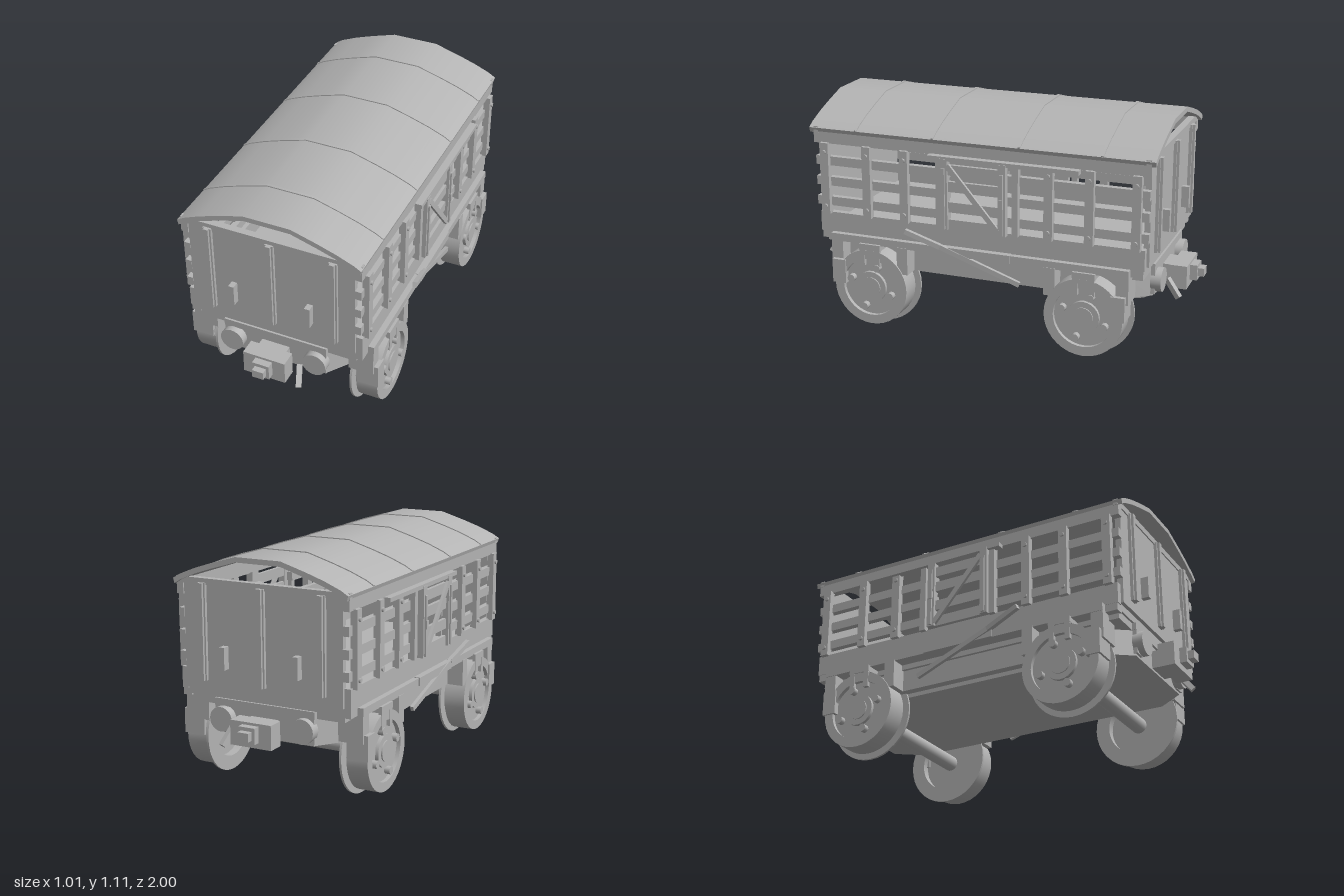
import * as THREE from 'three';
import { toCreasedNormals } from 'three/addons/utils/BufferGeometryUtils.js';

export function createModel() {
  const root = new THREE.Group();
  const grey = new THREE.MeshStandardMaterial({ color: 0xb4b4b4 });
  grey.name = 'plain grey';

  const add = (name, geo) => {
    const m = new THREE.Mesh(geo, grey);
    m.name = name;
    root.add(m);
    return m;
  };
  // box given by its limits on each axis
  const box = (name, x0, x1, y0, y1, z0, z1) => {
    const m = add(name, new THREE.BoxGeometry(Math.abs(x1 - x0), Math.abs(y1 - y0), Math.abs(z1 - z0)));
    m.position.set((x0 + x1) / 2, (y0 + y1) / 2, (z0 + z1) / 2);
    return m;
  };
  // bar of rectangular section between two points
  const strut = (name, a, b, w, h) => {
    const p = new THREE.Vector3(...a), q = new THREE.Vector3(...b);
    const m = add(name, new THREE.BoxGeometry(w, h, p.distanceTo(q)));
    m.position.copy(p).add(q).multiplyScalar(0.5);
    m.lookAt(q);
    return m;
  };
  // cylinder lying along x or z
  const rod = (name, axis, r, len, x, y, z, seg = 24) => {
    const g = new THREE.CylinderGeometry(r, r, len, seg);
    if (axis === 'x') g.rotateZ(Math.PI / 2); else g.rotateX(Math.PI / 2);
    const m = add(name, g);
    m.position.set(x, y, z);
    return m;
  };

  // Curved roof and its ribs
  const half = [[0.445, 0.983], [0.41, 1.004], [0.33, 1.037], [0.24, 1.067], [0.115, 1.104]];
  const roofSlice = (name, lift, depth, z) => {
    const outer = [...half, ...half.map(([x, y]) => [-x, y]).reverse()];
    const top = outer.map(([x, y]) => new THREE.Vector2(x, y + lift));
    const under = outer.map(([x, y]) => new THREE.Vector2(x * 0.985, y - 0.024)).reverse();
    const g = new THREE.ExtrudeGeometry(new THREE.Shape([...top, ...under]), { depth, bevelEnabled: false });
    g.translate(0, 0, z - depth / 2);
    add(name, toCreasedNormals(g, 0.5));
  };
  roofSlice('roof', 0, 1.71, 0);
  for (const z of [-0.61, -0.215, 0.215, 0.61]) roofSlice('roofRib', 0.005, 0.013, z);

  // Floor and underframe with chamfered corners
  box('floor', -0.43, 0.43, 0.44, 0.475, -0.81, 0.81);
  const plan = [[0.345, -0.68], [0.345, 0.68], [0.25, 0.81], [-0.25, 0.81],
    [-0.345, 0.68], [-0.345, -0.68], [-0.25, -0.81], [0.25, -0.81]];
  const frame = new THREE.ExtrudeGeometry(new THREE.Shape(plan.map(p => new THREE.Vector2(...p))),
    { depth: 0.125, bevelEnabled: false });
  frame.rotateX(-Math.PI / 2).translate(0, 0.28, 0);
  add('underframe', frame);
  box('deckBeam', -0.40, 0.40, 0.405, 0.44, -0.80, 0.80);

  // Slatted sides
  for (const s of [-1, 1]) {
    box('eaveBoard', s * 0.405, s * 0.44, 0.91, 0.985, -0.835, 0.835);
    box('lowerPlank', s * 0.405, s * 0.437, 0.465, 0.565, -0.815, 0.815);
    box('soleRail', s * 0.39, s * 0.465, 0.43, 0.467, -0.75, 0.75);
    box('soleRailEnds', s * 0.39, s * 0.435, 0.43, 0.467, -0.81, 0.81);
    box('solebar', s * 0.34, s * 0.385, 0.30, 0.43, -0.75, 0.75);
    for (const y of [0.62, 0.72, 0.822]) {
      box('slat', s * 0.405, s * 0.435, y - 0.022, y + 0.022, 0.14, 0.83);
      box('slat', s * 0.405, s * 0.435, y - 0.022, y + 0.022, -0.83, -0.14);
    }
    for (const z of [0.775, 0.555, 0.36, 0.18, -0.2, -0.36, -0.555, -0.775]) {
      const w = Math.abs(z) < 0.25 ? 0.015 : 0.021;
      box('post', s * 0.425, s * 0.458, 0.56, 0.915, z - w, z + w);
      if (w > 0.02) for (const y of [0.60, 0.87]) rod('postBolt', 'x', 0.011, 0.012, s * 0.461, y, z, 8);
    }

    // Sliding door, its diagonal brace and its rail
    for (const z of [0.147, -0.142]) {
      box('doorStile', s * 0.445, s * 0.478, 0.56, 0.905, z - 0.019, z + 0.019);
      box('doorStrap', s * 0.478, s * 0.486, 0.565, 0.86, z - 0.008, z + 0.008);
    }
    for (const y of [0.585, 0.67, 0.77, 0.85])
      box('doorSlat', s * 0.447, s * 0.465, y - 0.025, y + 0.025, -0.13, 0.135);
    strut('doorBrace', [s * 0.472, 0.875, 0.13], [s * 0.472, 0.575, -0.125], 0.014, 0.026);
    box('doorRail', s * 0.44, s * 0.475, 0.895, 0.915, -0.51, 0.23);
    box('doorLatch', s * 0.478, s * 0.49, 0.70, 0.74, -0.15, -0.13);

    // Brake lever and guide
    box('leverGuide', s * 0.44, s * 0.472, 0.43, 0.47, -0.18, 0.19);
    strut('brakeLever', [s * 0.495, 0.535, 0.34], [s * 0.472, 0.47, 0.17], 0.022, 0.024);
    strut('brakeLever', [s * 0.472, 0.47, 0.17], [s * 0.45, 0.325, -0.22], 0.018, 0.024);

    // Wheels, suspension brackets and brake blocks
    const wheelProfile = [[0.145, 0.345], [0.214, 0.345], [0.214, 0.356], [0.165, 0.356], [0.165, 0.37],
      [0.19, 0.37], [0.19, 0.475], [0.145, 0.475], [0.145, 0.345]].map(p => new THREE.Vector2(...p));
    for (const e of [-1, 1]) {
      const cz = e * 0.54, cy = 0.215;
      const g = new THREE.LatheGeometry(wheelProfile, 36).rotateZ(-Math.PI / 2);
      const wheel = add('wheel', toCreasedNormals(g, 0.5));
      wheel.position.set(0, cy, cz);
      if (s < 0) { g.rotateY(Math.PI); wheel.geometry.rotateY(Math.PI); }
      rod('wheelDisc', 'x', 0.147, 0.07, s * 0.42, cy, cz, 36);
      rod('wheelHub', 'x', 0.078, 0.02, s * 0.462, cy, cz);
      rod('hubCap', 'x', 0.05, 0.016, s * 0.47, cy, cz);
      for (let i = 0; i < 4; i++) {
        const a = 0.33 + i * Math.PI / 2;
        rod('wheelBolt', 'x', 0.019, 0.03, s * 0.468, cy + 0.108 * Math.sin(a), cz + 0.108 * Math.cos(a), 10);
      }
      box('springHanger', s * 0.37, s * 0.478, 0.405, 0.435, cz - 0.055, cz + 0.055);
      for (const d of [-0.04, 0.04])
        box('hangerLeg', s * 0.46, s * 0.478, 0.325, 0.41, cz + d - 0.013, cz + d + 0.013);
      box('brakeBlock', s * 0.375, s * 0.483, 0.22, 0.34, e * 0.67, e * 0.74);
      box('brakeHanger', s * 0.385, s * 0.462, 0.30, 0.435, e * 0.69, e * 0.75);
      box('innerBrakeHanger', s * 0.375, s * 0.468, 0.30, 0.435, e * 0.345, e * 0.40);
    }
  }
  for (const e of [-1, 1]) rod('axle', 'x', 0.039, 0.76, 0, 0.218, e * 0.54);

  // Ends: panel, battens, headstock, buffers, coupler and hose
  for (const e of [-1, 1]) {
    box('endPanel', -0.405, 0.405, 0.475, 0.99, e * 0.80, e * 0.828);
    box('endTopBoard', -0.442, 0.442, 0.96, 0.99, e * 0.81, e * 0.834);
    for (const x of [-0.305, 0, 0.305]) {
      box('endBatten', x - 0.02, x + 0.02, 0.52, 0.97, e * 0.825, e * 0.843);
      box('endBattenRidge', x - 0.012, x + 0.012, 0.52, 0.97, e * 0.84, e * 0.855);
    }
    for (const s of [-1, 1]) {
      box('endHandle', s * 0.175, s * 0.202, 0.585, 0.69, e * 0.825, e * 0.865);
      box('bufferPlate', s * 0.20, s * 0.258, 0.29, 0.44, e * 0.80, e * 0.82);
      rod('buffer', 'z', 0.058, 0.05, s * 0.21, 0.35, e * 0.825);
    }
    box('headstock', -0.26, 0.26, 0.405, 0.44, e * 0.78, e * 0.82);
    box('couplerMount', -0.07, 0.07, 0.29, 0.375, e * 0.80, e * 0.87);
    box('couplerBox', -0.105, 0.105, 0.272, 0.387, e * 0.855, e * 0.935);
    box('couplerNeck', -0.042, 0.042, 0.30, 0.375, e * 0.93, e * 0.97);
    box('couplerTip', -0.028, 0.028, 0.318, 0.358, e * 0.965, e);
    strut('brakeHose', [0.14, 0.33, e * 0.85], [0.163, 0.25, e * 0.915], 0.025, 0.025);
  }
  return root;
}
